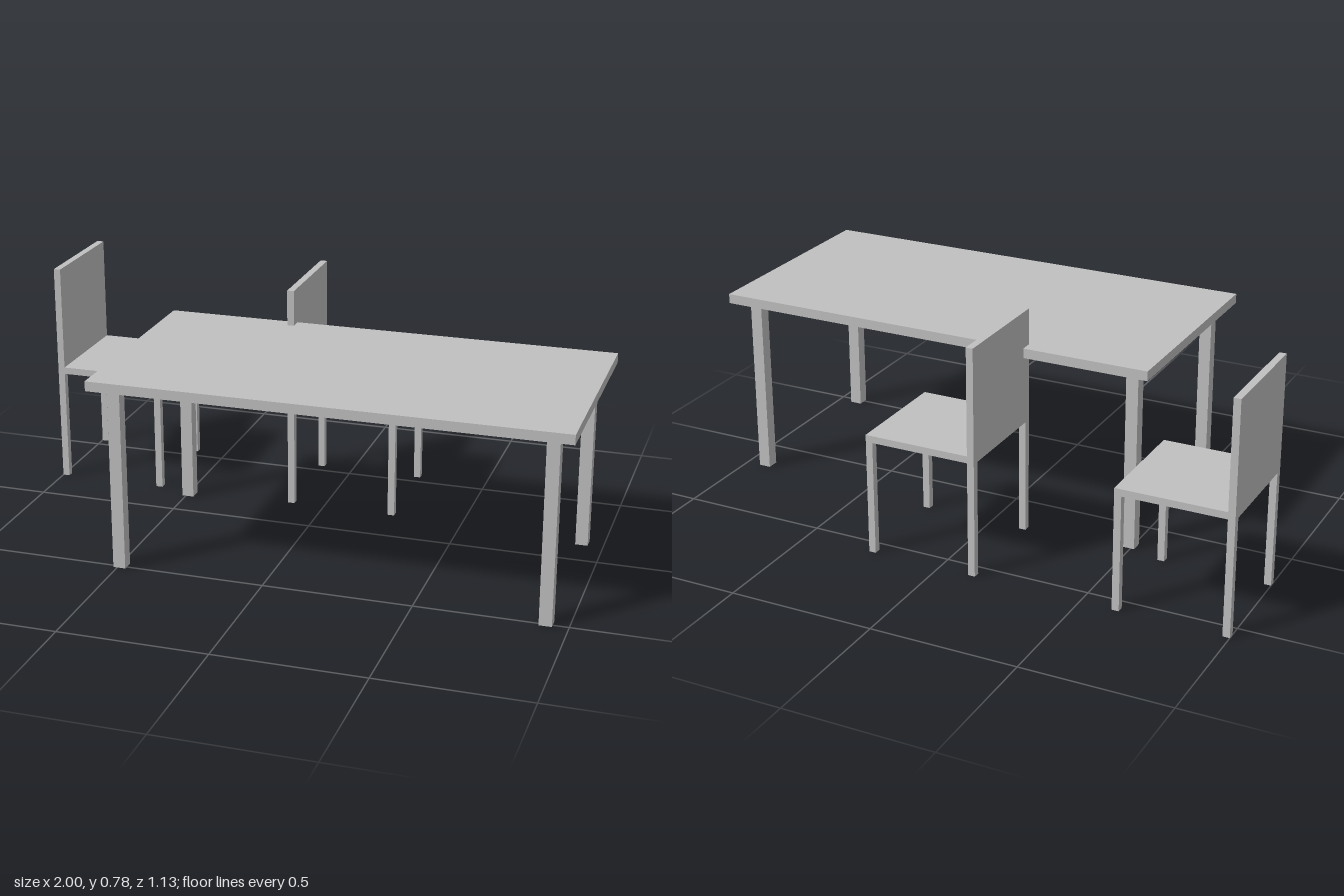
import * as THREE from 'three';

const grey = new THREE.MeshStandardMaterial({ color: 0xc0c0c0 });
grey.name = 'lightGrey';

// Box given by its extents on each axis
function slab(name, [x0, x1], [y0, y1], [z0, z1]) {
  const mesh = new THREE.Mesh(new THREE.BoxGeometry(x1 - x0, y1 - y0, z1 - z0), grey);
  mesh.position.set((x0 + x1) / 2, (y0 + y1) / 2, (z0 + z1) / 2);
  mesh.name = name;
  return mesh;
}

// Four square legs standing inside a rectangle
function addLegs(group, name, x0, x1, z0, z1, height, size) {
  for (const x of [x0, x1 - size])
    for (const z of [z0, z1 - size])
      group.add(slab(name, [x, x + size], [0, height], [z, z + size]));
}

function createTable() {
  const table = new THREE.Group();
  table.name = 'table';
  table.add(slab('tableTop', [-0.565, 1], [0.628, 0.661], [-0.217, 0.565]));
  addLegs(table, 'tableLeg', -0.513, 0.948, -0.165, 0.513, 0.628, 0.042);
  return table;
}

// Chair facing +x, with its origin at the rear corner of the backrest
function createChair() {
  const chair = new THREE.Group();
  chair.name = 'chair';
  const size = 0.39, t = 0.024;
  chair.add(slab('seat', [t, size], [0.395, 0.419], [0, size]));
  chair.add(slab('backrest', [0, t], [0.395, 0.785], [0, size]));
  addLegs(chair, 'chairLeg', 0, size, 0, size, 0.395, t);
  return chair;
}

export function createModel() {
  const model = new THREE.Group();
  model.name = 'tableAndChairs';
  model.add(createTable());
  for (const x of [-1, -0.132]) {
    const chair = createChair();
    chair.position.set(x, 0, -0.565);
    model.add(chair);
  }
  return model;
}
